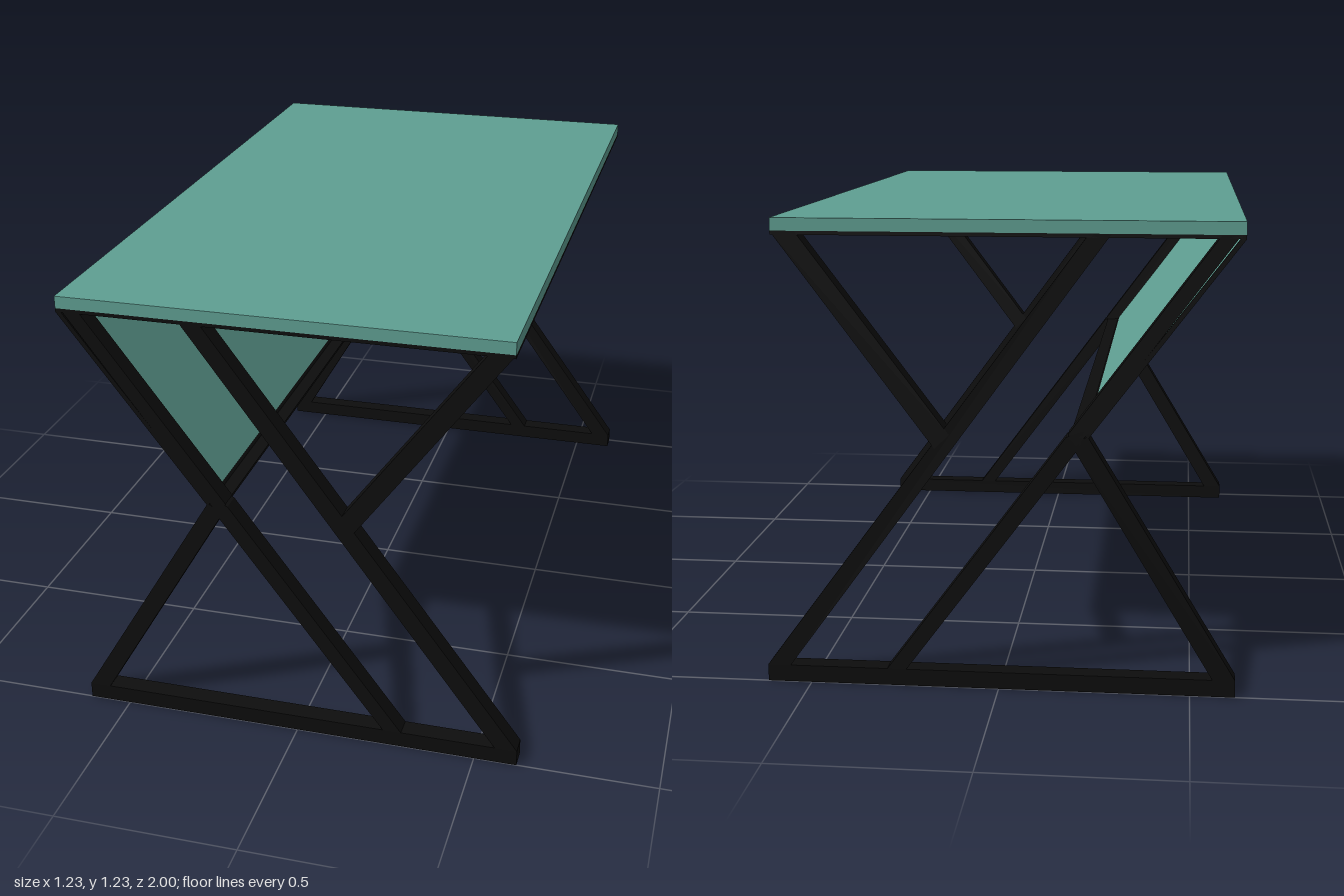
import * as THREE from 'three';

const teal = new THREE.MeshStandardMaterial({ color: 0x5f9f92 });
teal.name = 'teal board';
const black = new THREE.MeshStandardMaterial({ color: 0x0d0d0d });
black.name = 'black metal';

// Side outline in x, y, swept from z0 to z1
function prism(name, points, z0, z1, material) {
  const shape = new THREE.Shape(points.map(([x, y]) => new THREE.Vector2(x, y)));
  const geometry = new THREE.ExtrudeGeometry(shape, { depth: z1 - z0, bevelEnabled: false });
  geometry.translate(0, 0, z0);
  const mesh = new THREE.Mesh(geometry, material);
  mesh.name = name;
  return mesh;
}

const rect = (x0, x1, y0, y1) => [[x0, y0], [x1, y0], [x1, y1], [x0, y1]];

// Bars of one end frame, each a mitred outline
const frameBars = {
  baseBar: rect(-0.617, 0.617, 0, 0.045),
  upperLongBar: [[-0.604, 1.199], [-0.557, 1.199], [-0.18, 0.69], [-0.2, 0.66], [-0.22, 0.68]],
  lowerLongBar: [[-0.22, 0.7], [-0.175, 0.683], [0.296, 0.045], [0.245, 0.045], [-0.212, 0.66]],
  outerLongBar: [[-0.286, 1.199], [-0.23, 1.199], [0.617, 0.045], [0.556, 0.045]],
  upperBrace: [[0.512, 1.199], [0.575, 1.199], [0.163, 0.645], [0.125, 0.682]],
  lowerBrace: [[-0.617, 0.045], [-0.558, 0.045], [-0.19, 0.66], [-0.23, 0.686]],
};

export function createModel() {
  const table = new THREE.Group();
  table.name = 'table';

  // Two end frames
  for (const [name, z0, z1] of [['frontFrame', 0.947, 1], ['backFrame', -1, -0.947]]) {
    const frame = new THREE.Group();
    frame.name = name;
    for (const [bar, outline] of Object.entries(frameBars)) {
      frame.add(prism(bar, outline, z0, z1, black));
    }
    table.add(frame);
  }

  // Table top with a thin metal rim below it
  table.add(prism('tableTop', rect(-0.617, 0.575, 1.2, 1.233), -1, 1, teal));
  const rim = new THREE.Group();
  rim.name = 'topRim';
  for (const [x0, x1] of [[-0.617, -0.607], [0.565, 0.575]]) {
    rim.add(prism('longRim', rect(x0, x1, 1.19, 1.2), -1, 1, black));
  }
  for (const z of [-1, 0.99]) {
    rim.add(prism('endRim', rect(-0.607, 0.565, 1.19, 1.2), z, z + 0.01, black));
  }
  table.add(rim);

  // Slanted panel on the outside of the upper long bars, edged in metal
  const a = [-0.617, 1.19], b = [-0.232, 0.68];
  const slab = (t0, t1) => {
    const at = (t, d) => [a[0] + (b[0] - a[0]) * t + 0.8 * d, a[1] + (b[1] - a[1]) * t + 0.6 * d];
    return [at(t0, 0), at(t1, 0), at(t1, 0.012), at(t0, 0.012)];
  };
  table.add(prism('slantedPanel', slab(0.015, 0.985), -0.992, 0.992, teal));
  table.add(prism('panelTopEdge', slab(0, 0.015), -1, 1, black));
  table.add(prism('panelBottomEdge', slab(0.985, 1), -1, 1, black));
  for (const z of [-1, 0.992]) {
    table.add(prism('panelEndEdge', slab(0.015, 0.985), z, z + 0.008, black));
  }

  // Crossbar joining the frames below the panel
  table.add(prism('crossbar', [[-0.232, 0.68], [-0.222, 0.687], [-0.185, 0.685], [-0.2, 0.655]], -0.947, 0.947, black));
  return table;
}
